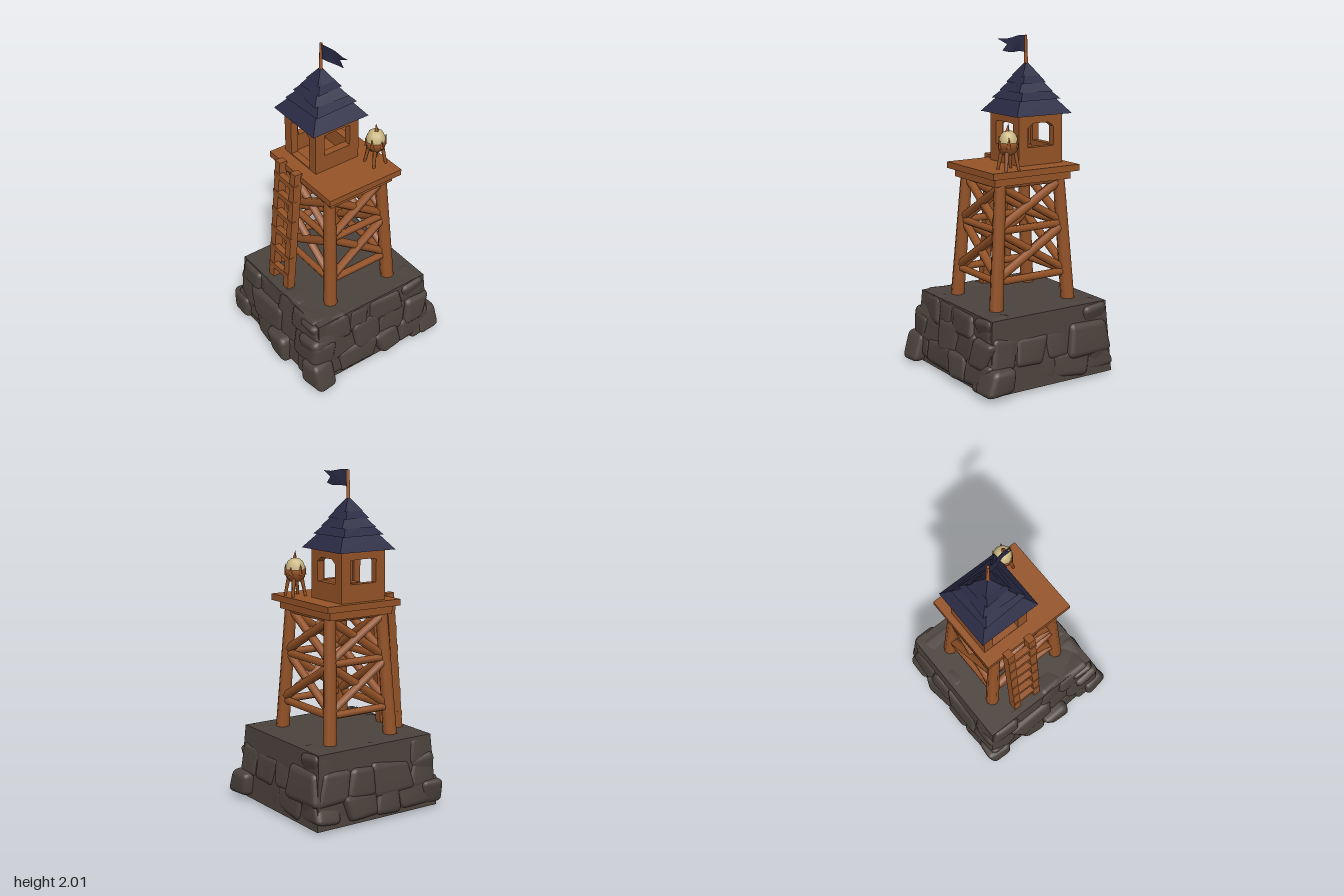
import * as THREE from 'three';
import { mergeVertices } from 'three/addons/utils/BufferGeometryUtils.js';
import { RoundedBoxGeometry } from 'three/addons/geometries/RoundedBoxGeometry.js';

const V = (x, y, z) => new THREE.Vector3(x, y, z);

export function createModel() {
  const mat = (name, color, side = THREE.FrontSide) => {
    const m = new THREE.MeshStandardMaterial({ color, side });
    m.name = name;
    return m;
  };
  const wood = mat('wood', 0x955327);
  const stone = mat('stone', 0x4b423c);
  const slate = mat('slate', 0x2a2a45, THREE.DoubleSide);
  const straw = mat('straw', 0xc9b680);
  const ember = mat('ember', 0xa85c30);

  const model = new THREE.Group();
  model.name = 'watchtower';
  const group = (name) => {
    const g = new THREE.Group();
    g.name = name;
    model.add(g);
    return g;
  };
  const add = (parent, name, geo, material, x = 0, y = 0, z = 0) => {
    const m = new THREE.Mesh(geo, material);
    m.name = name;
    m.position.set(x, y, z);
    parent.add(m);
    return m;
  };
  const box = (parent, name, w, h, d, x, y, z) =>
    add(parent, name, new THREE.BoxGeometry(w, h, d), wood, x, y, z);
  // Tapered round beam from a to b
  const beam = (parent, name, a, b, r0, r1 = r0, sides = 8, material = wood) => {
    const d = b.clone().sub(a);
    const m = add(parent, name, new THREE.CylinderGeometry(r1, r0, d.length(), sides), material);
    m.position.copy(a).addScaledVector(d, 0.5);
    m.quaternion.setFromUnitVectors(V(0, 1, 0), d.normalize());
  };
  // Four-sided flat-faced frustum aligned to the axes
  const frustum = (r0, r1, h) => {
    const g = new THREE.CylinderGeometry(r1 * Math.SQRT2, r0 * Math.SQRT2, h, 4).rotateY(Math.PI / 4).toNonIndexed();
    g.computeVertexNormals();
    return g;
  };

  let seed = 29;
  const rand = (a, b) => {
    seed = (seed * 16807) % 2147483647;
    return a + (b - a) * (seed / 2147483647);
  };

  // Rock base: solid core with a flat top, and courses of rough stones
  const base = group('rockBase');
  add(base, 'core', frustum(0.43, 0.4, 0.436), stone, -0.014, 0.222, -0.01);
  const rock = (w, h, d) => {
    let g = new RoundedBoxGeometry(w, h, d, 2, Math.min(w, h, d) * 0.24);
    g.deleteAttribute('uv');
    g.deleteAttribute('normal');
    g = mergeVertices(g, 1e-4);
    const p = g.attributes.position;
    const k = rand(0, 6), skew = rand(-0.3, 0.3);
    for (let i = 0; i < p.count; i++) {
      const x = p.getX(i), y = p.getY(i), z = p.getZ(i);
      p.setXYZ(i,
        x * (1 + 0.14 * Math.sin(k + y * 14)) + skew * y,
        y * (1 + 0.1 * Math.sin(k * 2 + x * 11)),
        z * (1 + 0.08 * Math.sin(k * 3 + x * 13 + y * 9)));
    }
    g.computeVertexNormals();
    return g;
  };
  const courses = [
    { y: 0.097, h: 0.17, half: 0.443, widths: [0.24, 0.17, 0.29, 0.18] },
    { y: 0.225, h: 0.2, half: 0.434, widths: [0.17, 0.29, 0.18, 0.21] },
    { y: 0.35, h: 0.165, half: 0.412, widths: [0.16, 0.22, 0.15, 0.25] },
  ];
  courses.forEach(({ y, h, half, widths }) => {
    for (let side = 0; side < 4; side++) {
      const ring = new THREE.Group();
      ring.name = 'stoneCourse';
      ring.rotation.y = side * Math.PI / 2;
      ring.position.x = -0.006;
      base.add(ring);
      const scale = (2 * half - 0.05) / widths.reduce((a, b) => a + b);
      let x = -half + 0.025;
      for (let i = 0; i < 4; i++) {
        const w = widths[(i + side) % 4] * scale;
        const d = 0.17;
        const out = half - d / 2 + rand(-0.018, 0.022);
        const s = add(ring, 'stone', rock(w * 1.13, h * rand(0.95, 1.05), d), stone, x + w / 2, y + rand(-0.006, 0.006), out);
        s.rotation.set(-0.11, rand(-0.08, 0.08), y > 0.3 ? 0 : rand(-0.05, 0.05));
        x += w;
      }
    }
  });
  // Big corner boulders at the foot
  for (const [x, z, turn] of [[0.39, 0.4, 0.12], [0.36, -0.415, 0.05], [-0.385, 0.385, -0.1], [0.06, 0.415, 0.04]]) {
    add(base, 'boulder', rock(0.17, 0.165, 0.16), stone, x, 0.092, z).rotation.y = turn;
  }

  // Timber frame: splayed legs, rails and crossed braces
  const frame = group('timberFrame');
  const cx = -0.01, cz = -0.015;
  const corner = (i, y, inset = 0) => {
    const t = (y - 0.43) / 0.75;
    const sx = [-1, 1, 1, -1][i % 4], sz = [1, 1, -1, -1][i % 4];
    return V(cx + sx * (0.255 - 0.05 * t - inset), y, cz + sz * (0.217 - 0.034 * t - inset));
  };
  for (let i = 0; i < 4; i++) {
    beam(frame, 'leg', corner(i, 0.42), corner(i, 1.18), 0.042, 0.035, 8);
    for (const y of [0.605, 0.9, 1.165]) beam(frame, 'rail', corner(i, y), corner(i + 1, y), 0.023, 0.023, 6);
    for (const [lo, hi] of [[0.62, 0.89], [0.915, 1.155]]) {
      beam(frame, 'brace', corner(i, lo, -0.004), corner(i + 1, hi, -0.004), 0.026, 0.026, 6);
      beam(frame, 'brace', corner(i + 1, lo, 0.008), corner(i, hi, 0.008), 0.026, 0.026, 6);
    }
  }

  // Platform
  const deck = group('platform');
  box(deck, 'deckBoard', 0.6, 0.038, 0.51, -0.01, 1.233, -0.02);
  box(deck, 'deckSupport', 0.53, 0.05, 0.44, -0.01, 1.19, -0.017);

  // Ladder leaning on the front edge
  const ladder = group('ladder');
  const ladderZ = (y) => 0.322 - (y - 0.44) * 0.09;
  for (const x of [-0.174, -0.022]) {
    box(ladder, 'ladderRail', 0.047, 0.835, 0.052, x, 0.855, ladderZ(0.855)).rotation.x = -0.09;
  }
  [0.53, 0.66, 0.8, 0.93, 1.06, 1.18].forEach((y, i) => {
    const rung = box(ladder, 'rung', 0.2, 0.036, 0.036, -0.097, y, ladderZ(y) + 0.012);
    rung.rotation.z = [0.05, -0.04, 0.03, -0.06, 0.04, -0.03][i];
  });

  // Lookout cabin: four walls with openings, arched over the door
  const cabin = group('cabin');
  cabin.position.set(-0.117, 1.25, -0.002);
  const points = (list) => list.map(([x, y]) => new THREE.Vector2(x, y));
  const wall = (low, spring) => {
    const s = new THREE.Shape(points([[-0.153, 0], [0.153, 0], [0.153, 0.305], [-0.153, 0.305]]));
    s.holes.push(new THREE.Path(points([
      [-0.09, low], [-0.09, spring], [-0.055, 0.248], [0.055, 0.248], [0.09, spring], [0.09, low],
    ])));
    return new THREE.ExtrudeGeometry(s, { depth: 0.045, bevelEnabled: false }).translate(0, 0, 0.108);
  };
  for (let i = 0; i < 4; i++) {
    const geo = wall(i === 0 ? 0.008 : 0.108, i % 2 ? 0.243 : 0.222);
    add(cabin, i === 0 ? 'doorWall' : 'windowWall', geo, wood).rotation.y = i * Math.PI / 2;
  }
  box(cabin, 'stool', 0.06, 0.1, 0.06, -0.01, 0.05, 0.03);

  // Roof: overlapping shingle tiers
  const roof = group('roof');
  roof.position.set(-0.117, 0, 0);
  [
    [0.194, 0.118, 1.545, 1.64], [0.145, 0.09, 1.628, 1.69], [0.115, 0.066, 1.672, 1.735],
    [0.084, 0.044, 1.722, 1.78], [0.06, 0.006, 1.762, 1.838],
  ].forEach(([r0, r1, y0, y1], i) => {
    const tier = add(roof, 'shingleTier', frustum(r0, r1, y1 - y0), slate, 0, (y0 + y1) / 2, 0);
    tier.rotation.y = [0, 0.05, -0.05, 0.06, -0.03][i];
  });

  // Swallow-tailed flag on its pole
  const flag = group('flag');
  beam(flag, 'flagPole', V(-0.117, 1.8, 0), V(-0.113, 1.997, 0), 0.012, 0.009, 6, ember);
  const cloth = new THREE.PlaneGeometry(1, 1, 6, 2);
  const p = cloth.attributes.position;
  for (let i = 0; i < p.count; i++) {
    const u = p.getX(i) + 0.5, v = p.getY(i);
    const reach = v > 0 ? 0.212 : v < 0 ? 0.178 : 0.145;
    p.setXYZ(i,
      -0.113 + u * reach,
      1.947 + v * (0.1 - 0.03 * u) + 0.004 * Math.sin(u * 7),
      -0.03 * u + 0.006 * Math.sin(u * 8 + v));
  }
  cloth.computeVertexNormals();
  add(flag, 'flagCloth', cloth, slate);

  // Signal brazier: bowl on legs with jagged rim, straw heap and flame
  const brazier = group('brazier');
  brazier.position.set(0.14, 1.25, -0.2);
  const bowl = [[0, 0.085], [0.035, 0.09], [0.056, 0.115], [0.062, 0.145], [0.058, 0.16], [0, 0.155]];
  add(brazier, 'bowl', new THREE.LatheGeometry(points(bowl), 10), wood);
  const heap = [[0.058, 0.155], [0.056, 0.18], [0.044, 0.208], [0.024, 0.224], [0, 0.228]];
  add(brazier, 'strawHeap', new THREE.LatheGeometry(points(heap), 10), straw);
  add(brazier, 'flame', new THREE.ConeGeometry(0.02, 0.065, 4), ember, 0.004, 0.238, 0).rotation.z = 0.15;
  for (let i = 0; i < 4; i++) {
    const a = Math.PI / 4 + i * Math.PI / 2;
    const c = Math.cos(a), s = Math.sin(a);
    beam(brazier, 'brazierLeg', V(c * 0.062, 0, s * 0.062), V(c * 0.038, 0.115, s * 0.038), 0.009, 0.013, 5);
  }
  for (let i = 0; i < 6; i++) {
    const a = i * Math.PI / 3;
    const c = Math.cos(a), s = Math.sin(a);
    beam(brazier, 'rimSpike', V(c * 0.05, 0.13, s * 0.05), V(c * 0.06, 0.178 + 0.016 * (i % 2), s * 0.06), 0.018, 0.001, 4);
  }
  return model;
}
